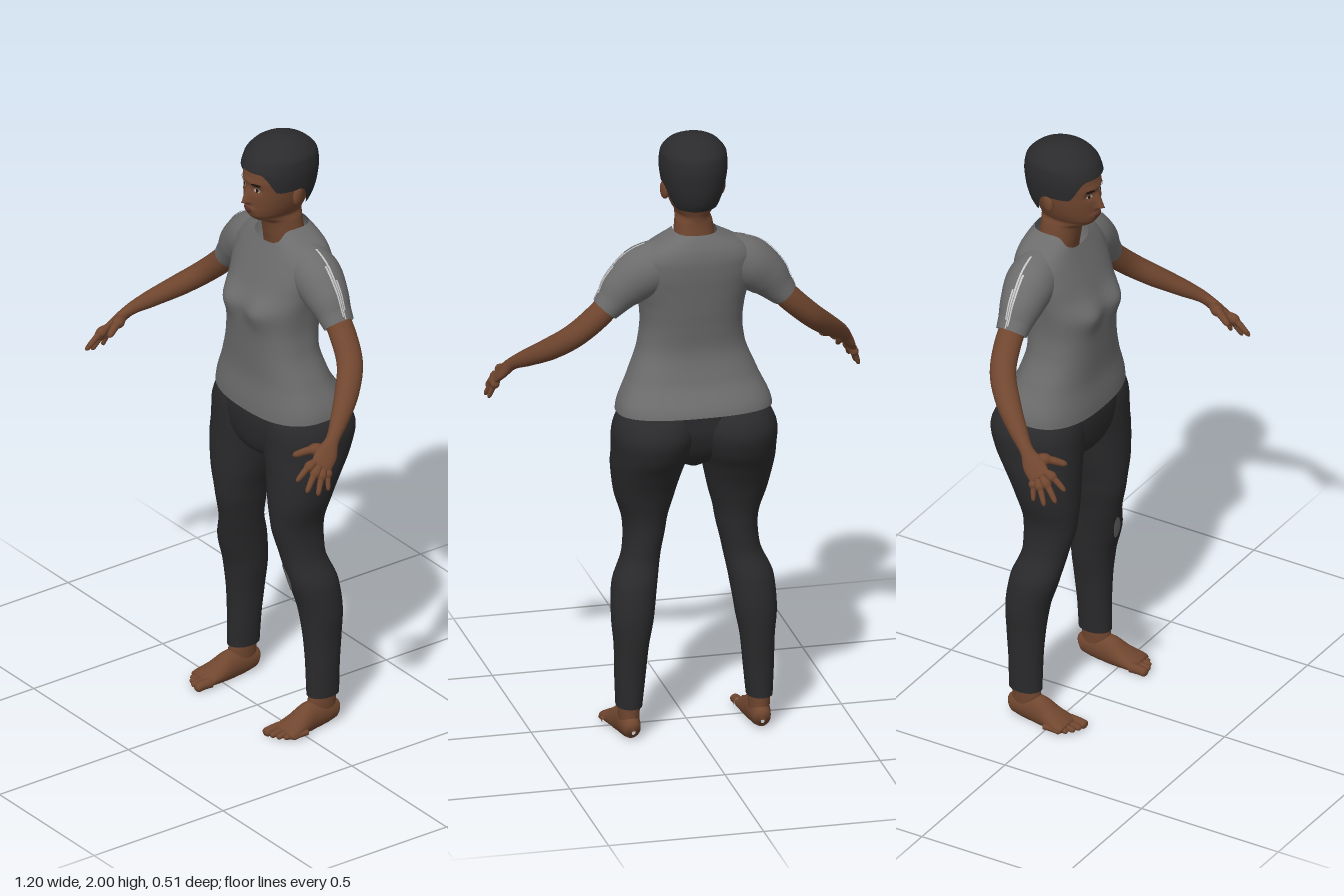
import * as THREE from 'three';

const mat = (name, color, side = THREE.FrontSide) => {
  const m = new THREE.MeshStandardMaterial({ color, side });
  m.name = name;
  return m;
};

// Smooth surface from f(u, v); u wraps round when closed
function grid(f, nu, nv, closed = true) {
  const pos = [], idx = [], cols = closed ? nu : nu + 1;
  for (let j = 0; j <= nv; j++)
    for (let i = 0; i < cols; i++) pos.push(...f(i / nu, j / nv));
  for (let j = 0; j < nv; j++)
    for (let i = 0; i < nu; i++) {
      const a = j * cols + i, b = j * cols + (i + 1) % cols;
      idx.push(a, b, b + cols, a, b + cols, a + cols);
    }
  const g = new THREE.BufferGeometry();
  g.setAttribute('position', new THREE.Float32BufferAttribute(pos, 3));
  g.setIndex(idx);
  g.computeVertexNormals();
  return g;
}

// Monotone cubic interpolation of column k in rows sorted by row[0]
function lerpRows(rows, y, k) {
  let i = 0;
  while (i < rows.length - 2 && y > rows[i + 1][0]) i++;
  const d = (n) => (rows[n + 1][k] - rows[n][k]) / (rows[n + 1][0] - rows[n][0]);
  const slope = (n) => {
    if (n === 0) return d(0);
    if (n === rows.length - 1) return d(n - 1);
    const a = d(n - 1), b = d(n);
    return a * b <= 0 ? 0 : (2 * a * b) / (a + b);
  };
  const h = rows[i + 1][0] - rows[i][0];
  const t = Math.min(1, Math.max(0, (y - rows[i][0]) / h)), t2 = t * t, t3 = t2 * t;
  return (2 * t3 - 3 * t2 + 1) * rows[i][k] + (t3 - 2 * t2 + t) * h * slope(i)
    + (3 * t2 - 2 * t3) * rows[i + 1][k] + (t3 - t2) * h * slope(i + 1);
}

// Upright body surface; rows are [y, centreX, radiusX, frontZ, backZ], angle 0 is the front
const body = (rows, power = 1, bump = () => 0) => (a, y, off = 0) => {
  const [cx, rx, zf, zb] = [1, 2, 3, 4].map((k) => lerpRows(rows, y, k));
  const p = (s) => Math.sign(s) * Math.abs(s) ** power;
  const x = (rx + off) * p(Math.sin(a));
  const z = (zf + zb) / 2 + ((zf - zb) / 2 + off) * p(Math.cos(a));
  return [cx + x, y, z + (Math.cos(a) > 0 ? bump(x, y) : 0)];
};
const upright = (surf, low, high, nu = 48, nv = 48, ease = (v) => v) => grid((u, v) => {
  const a = u * Math.PI * 2, y0 = low(a), y1 = high(a);
  return surf(a, y0 + (y1 - y0) * ease(v));
}, nu, nv);

// Oval patch lying on a body surface
const decal = (surf, a, y, wa, h, off = 0.003) => grid((u, v) => {
  const t = u * Math.PI * 2, r = 1 - v;
  return surf(a + wa * r * Math.cos(t), y + h * r * Math.sin(t), off);
}, 20, 4);

// Tube along points [x, y, z, radius along side, radius across]
function limb(pts, side, round = 0, minY = -1) {
  const path = new THREE.CatmullRomCurve3(pts.map((p) => new THREE.Vector3(p[0], p[1], p[2])));
  const rad = new THREE.CatmullRomCurve3(pts.map((p) => new THREE.Vector3(p[3], p[4], 0)));
  const ref = new THREE.Vector3(...side);
  return (u, v, off = 0) => {
    const c = path.getPoint(v), T = path.getTangent(v), r = rad.getPoint(v);
    const U = ref.clone().addScaledVector(T, -ref.dot(T)).normalize();
    const V = T.clone().cross(U), a = u * Math.PI * 2;
    const k = round && v > 1 - round ? Math.sqrt(Math.max(0, 1 - ((v - 1 + round) / round) ** 2)) : 1;
    c.addScaledVector(U, (r.x + off) * k * Math.cos(a)).addScaledVector(V, (r.y + off) * k * Math.sin(a));
    return [c.x, Math.max(minY, c.y), c.z];
  };
}

export function createModel() {
  const skin = mat('skin', 0x70462f), hairM = mat('hair', 0x2b2b2d, THREE.DoubleSide);
  const shirtM = mat('shirt grey', 0x6c6c6c, THREE.DoubleSide);
  const cloth = mat('trouser black', 0x2a2a2c, THREE.DoubleSide);
  const pale = mat('pale seam', 0xc4c4c4, THREE.DoubleSide), patchM = mat('patch grey', 0x666666);
  const white = mat('eye white', 0xa89c94), dark = mat('eye dark', 0x1c1310), lipM = mat('lips', 0x5a3028);
  const model = new THREE.Group();
  const add = (name, geo, m, parent = model) => {
    const mesh = new THREE.Mesh(geo, m);
    mesh.name = name;
    parent.add(mesh);
    return mesh;
  };
  const g2 = (x, sx, y, sy) => Math.exp(-((x / sx) ** 2) - (y / sy) ** 2);

  // Head and neck with a modelled face
  const face = (x, y) => {
    const n = y > 1.803 ? 1 - (y - 1.803) / 0.055 : 1 - (1.803 - y) / 0.014;
    return 0.027 * Math.max(0, n) * Math.exp(-((x / 0.012) ** 2))
      - 0.009 * g2(Math.abs(x) - 0.032, 0.016, y - 1.848, 0.012)
      + 0.009 * g2(x, 0.022, y - 1.775, 0.012) + 0.004 * g2(x, 0.05, y - 1.872, 0.01);
  };
  const head = body([
    [1.6, 0, 0.075, -0.05, -0.17], [1.66, 0, 0.066, -0.038, -0.165], [1.715, 0, 0.058, -0.024, -0.16],
    [1.737, 0, 0.053, 0.018, -0.162], [1.755, 0, 0.062, 0.031, -0.168], [1.78, 0, 0.073, 0.034, -0.18],
    [1.82, 0, 0.084, 0.036, -0.195], [1.86, 0, 0.09, 0.035, -0.2], [1.9, 0, 0.094, 0.03, -0.2],
    [1.94, 0, 0.088, 0.01, -0.19], [1.97, 0, 0.06, -0.03, -0.155], [1.985, 0, 0, -0.09, -0.09],
  ], 0.92, face);
  add('head', upright(head, () => 1.6, () => 1.985, 96, 110), skin);
  for (const s of [1, -1]) {
    add('eyeWhite', decal(head, s * 0.34, 1.848, 0.13, 0.007, 0.002), white);
    add('iris', decal(head, s * 0.34, 1.848, 0.06, 0.0068, 0.004), dark);
    add('eyebrow', decal(head, s * 0.36, 1.869, 0.18, 0.0045), dark);
    const ear = add('ear', new THREE.SphereGeometry(1, 20, 14), skin);
    ear.scale.set(0.012, 0.033, 0.021);
    ear.position.set(s * 0.092, 1.82, -0.09);
    ear.rotation.set(-0.15, s * 0.3, 0);
  }
  add('lips', decal(head, 0, 1.775, 0.25, 0.01, 0.002), lipM);

  // Short hair with a higher line over the forehead and a low nape
  const hair = body([
    [1.75, 0, 0.07, 0.02, -0.172], [1.8, 0, 0.088, 0.036, -0.2], [1.85, 0, 0.1, 0.04, -0.212],
    [1.9, 0, 0.106, 0.041, -0.216], [1.94, 0, 0.103, 0.028, -0.21], [1.97, 0, 0.084, 0, -0.185],
    [1.99, 0, 0.052, -0.04, -0.145], [1.997, 0, 0.028, -0.065, -0.118], [2, 0, 0, -0.09, -0.09],
  ], 0.95);
  const hairline = (a) => {
    const c = Math.cos(a), st = THREE.MathUtils.smoothstep;
    return c > 0 ? 1.845 + 0.065 * st(c, 0.5, 0.9) : 1.845 - 0.075 * st(-c, 0.1, 0.6);
  };
  add('hair', upright(hair, hairline, () => 2, 64, 40, (v) => Math.sin(v * Math.PI / 2)), hairM);

  // Shirt body with bust and scooped collar
  const torso = body([
    [1.06, 0, 0.25, 0.062, -0.25], [1.1, 0, 0.246, 0.06, -0.246], [1.2, 0, 0.205, 0.05, -0.195],
    [1.3, 0, 0.168, 0.055, -0.172], [1.37, 0, 0.16, 0.06, -0.18], [1.43, 0, 0.165, 0.062, -0.19],
    [1.5, 0, 0.178, 0.036, -0.2], [1.56, 0, 0.188, 0.012, -0.208], [1.6, 0, 0.186, -0.005, -0.21],
    [1.635, 0, 0.162, -0.02, -0.205], [1.66, 0, 0.122, -0.03, -0.195], [1.675, 0, 0.09, -0.036, -0.187],
    [1.688, 0, 0.068, -0.04, -0.178],
  ], 0.8, (x, y) => 0.019 * g2(Math.abs(x) - 0.075, 0.05, y - 1.435, 0.05));
  add('shirt', upright(torso, (a) => 1.088 - 0.012 * Math.cos(a),
    (a) => 1.688 - 0.042 * Math.max(0, Math.cos(a)) ** 4, 72, 64), shirtM);

  // Trouser seat joining the legs
  const seat = body([
    [0.89, 0, 0.02, -0.02, -0.11], [0.93, 0, 0.13, 0.033, -0.165], [0.98, 0, 0.21, 0.047, -0.195],
    [1.04, 0, 0.238, 0.052, -0.21], [1.11, 0, 0.228, 0.045, -0.21],
  ], 0.85);
  add('trouserSeat', upright(seat, () => 0.89, () => 1.11, 56, 20), cloth);

  const leg = body([
    [0.105, 0.21, 0.041, -0.045, -0.155], [0.2, 0.207, 0.048, -0.045, -0.157], [0.3, 0.203, 0.054, -0.04, -0.165],
    [0.4, 0.198, 0.067, -0.028, -0.17], [0.5, 0.188, 0.071, 0, -0.16], [0.6, 0.16, 0.06, 0.02, -0.132],
    [0.7, 0.148, 0.068, 0.043, -0.136], [0.8, 0.15, 0.095, 0.05, -0.16], [0.9, 0.146, 0.115, 0.05, -0.205],
    [0.95, 0.138, 0.123, 0.05, -0.235], [1.02, 0.132, 0.13, 0.05, -0.255], [1.07, 0.128, 0.117, 0.043, -0.238],
    [1.1, 0.12, 0.1, 0.03, -0.2],
  ], 0.95);
  add('kneePatch', decal(leg, -0.2, 0.525, 0.2, 0.046), patchM);

  const sleeve = limb([
    [0.09, 1.585, -0.11, 0.075, 0.08], [0.165, 1.56, -0.108, 0.08, 0.084], [0.23, 1.51, -0.105, 0.068, 0.072],
    [0.265, 1.47, -0.105, 0.056, 0.055], [0.289, 1.443, -0.105, 0.051, 0.046],
  ], [0, 0, 1]);
  const across = [-0.45, 0.4, 0.75];
  const arm = limb([
    [0.25, 1.485, -0.105, 0.042, 0.04], [0.31, 1.42, -0.103, 0.043, 0.04], [0.38, 1.352, -0.08, 0.042, 0.038],
    [0.44, 1.295, -0.025, 0.039, 0.035], [0.5, 1.24, 0.05, 0.029, 0.027], [0.534, 1.205, 0.1, 0.022, 0.019],
    [0.552, 1.17, 0.138, 0.036, 0.016], [0.567, 1.138, 0.174, 0.034, 0.012],
  ], across, 0.04);
  // Fingers: base, tip, radius
  const fingers = [
    [[0.538, 1.185, 0.125], [0.485, 1.165, 0.22], 0.013], [[0.55, 1.162, 0.175], [0.55, 1.11, 0.252], 0.0105],
    [[0.56, 1.15, 0.168], [0.584, 1.08, 0.238], 0.0105], [[0.568, 1.142, 0.158], [0.598, 1.065, 0.204], 0.01],
    [[0.57, 1.138, 0.145], [0.597, 1.07, 0.163], 0.009],
  ];
  const foot = limb([
    [0.208, 0.03, -0.156, 0.006, 0.01], [0.209, 0.035, -0.145, 0.026, 0.032], [0.21, 0.042, -0.11, 0.034, 0.045],
    [0.211, 0.038, -0.05, 0.037, 0.05], [0.214, 0.026, 0, 0.045, 0.035], [0.218, 0.018, 0.045, 0.051, 0.021],
    [0.219, 0.015, 0.068, 0.046, 0.013],
  ], [1, 0, 0], 0.06, 0);
  const toes = [[0.182, 0.107, 0.017], [0.208, 0.102, 0.011], [0.229, 0.092, 0.0105],
    [0.247, 0.077, 0.01], [0.262, 0.058, 0.0095]];
  const ankle = body([[0.03, 0.21, 0.03, -0.05, -0.148], [0.08, 0.21, 0.034, -0.047, -0.145],
    [0.13, 0.21, 0.036, -0.055, -0.145]]);

  // Paired parts, mirrored across x
  for (const s of [1, -1]) {
    const half = new THREE.Group();
    half.name = s > 0 ? 'leftSide' : 'rightSide';
    half.scale.x = s;
    model.add(half);
    add('trouserLeg', upright(leg, () => 0.105, () => 1.1, 40, 64), cloth, half);
    add('sleeve', grid(sleeve, 40, 28), shirtM, half);
    // Broken pale threads along the top of the sleeve
    [[0.725, 0.42, 0.8], [0.742, 0.15, 0.99], [0.759, 0.3, 0.93]].forEach(([u0, v0, v1]) => add('sleeveSeam',
      grid((u, v) => sleeve(u0 + u * 0.013, v0 + v * (v1 - v0), 0.003), 2, 20, false), pale, half));
    add('armAndPalm', grid(arm, 28, 72), skin, half);
    fingers.forEach(([b, t, r], i) => {
      const mid = b.map((c, k) => (c + t[k]) / 2 + (k === 1 ? 0.006 : 0));
      const f = limb([[...b, r, r], [...mid, r, r], [...t, r * 0.75, r * 0.75]], across, 0.15);
      add(i ? 'finger' : 'thumb', grid(f, 12, 24), skin, half);
    });
    add('ankle', upright(ankle, () => 0.03, () => 0.13, 28, 10), skin, half);
    add('foot', grid(foot, 32, 48), skin, half);
    toes.forEach(([x, z, r]) => {
      const t = limb([[x, 0.016, z - 0.06, r, r], [x, 0.015, z - 0.025, r * 0.9, r * 0.9],
        [x, 0.011, z, r, r * 0.8]], [1, 0, 0], 0.2, 0);
      add('toe', grid(t, 14, 20), skin, half);
    });
  }
  return model;
}
